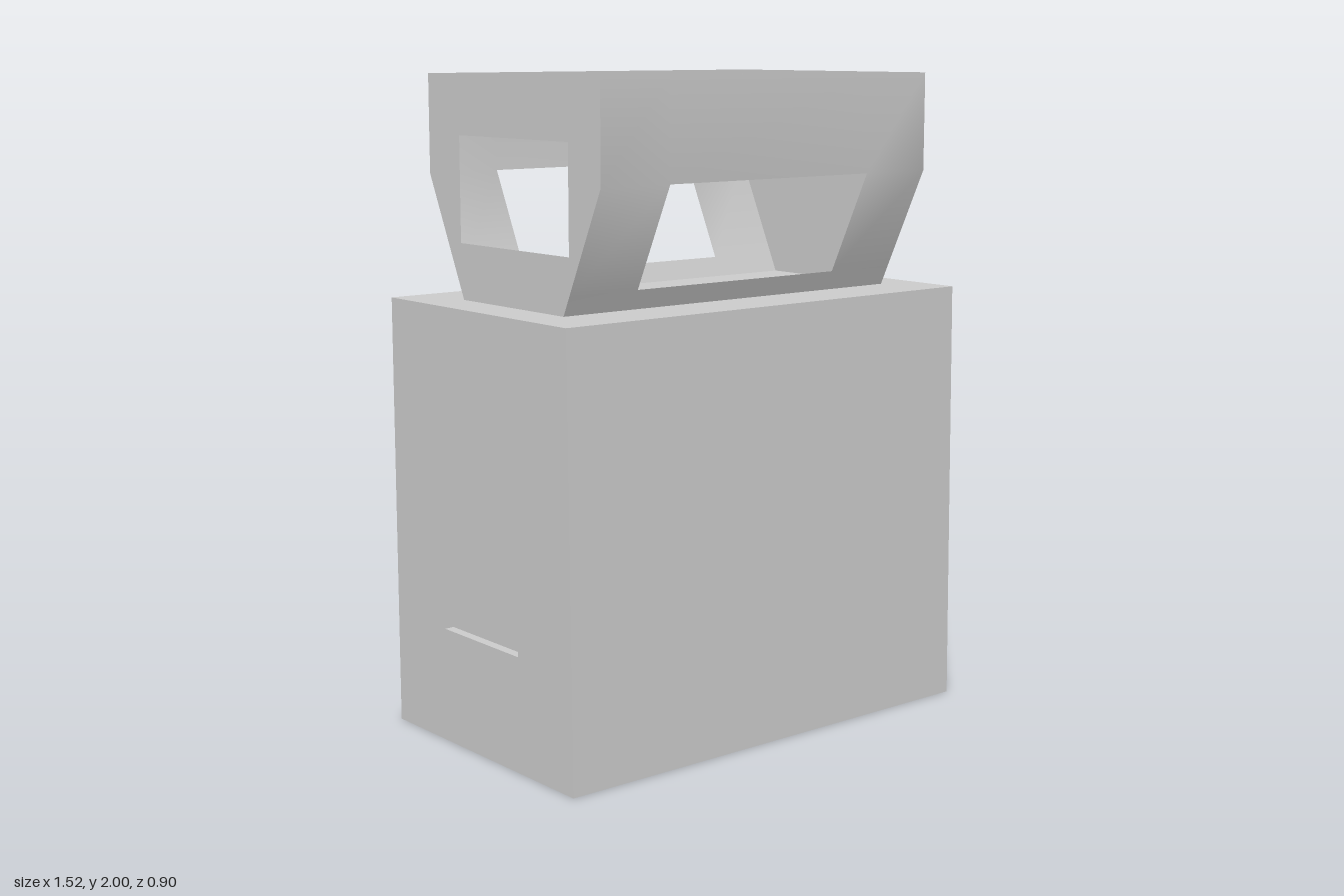
import * as THREE from 'three';

const grey = (side = THREE.FrontSide) => new THREE.MeshStandardMaterial({ color: 0xcccccc, side });

// Body sizes: half length, height, half depth, wall thickness
const BX = 0.76, BH = 1.33, BZ = 0.45, T = 0.03;

function part(name, geometry, side) {
  const mesh = new THREE.Mesh(geometry, grey(side));
  mesh.name = name;
  return mesh;
}

// The body's front leans back slightly towards the top
function lean(geometry) {
  const p = geometry.attributes.position;
  for (let i = 0; i < p.count; i++) {
    if (p.getZ(i) > 0.4) p.setZ(i, p.getZ(i) - 0.015 * p.getY(i) / BH);
  }
  geometry.computeVertexNormals();
  return geometry;
}

// Box between two corners, leaving out some faces (order: +x -x +y -y +z -z)
function openBox(min, max, skip) {
  const [w, h, d] = max.map((v, i) => v - min[i]);
  const geo = new THREE.BoxGeometry(w, h, d);
  geo.translate(...max.map((v, i) => (v + min[i]) / 2));
  const index = Array.from(geo.index.array).filter((_, i) => !skip.includes(Math.floor(i / 6)));
  geo.setIndex(index);
  geo.clearGroups();
  return geo;
}

// Flat end panel from a z/y outline, with an optional z/y window, facing -x
function endPanel(x, outline, window) {
  const toPoints = (list) => list.map(([z, y]) => new THREE.Vector2(z, y));
  const shape = new THREE.Shape(toPoints(outline));
  if (window) shape.holes.push(new THREE.Path(toPoints(window)));
  return new THREE.ShapeGeometry(shape).rotateY(-Math.PI / 2).translate(x, 0, 0);
}

const rect = (z0, y0, z1, y1) => [[z0, y0], [z1, y0], [z1, y1], [z0, y1]];

// Folded long panel of the collar: a small grid with its middle cell left open
function longPanel(front) {
  const xs = [-0.625, -0.38, 0.39, 0.635];
  const rows = front
    ? [[2, 0.418], [1.7, 0.418], [1.39, 0.27], [1.33, 0.242]]
    : [[2, -0.432], [1.7, -0.432], [1.39, -0.287], [1.33, -0.259]];
  const pos = [], index = [];
  rows.forEach(([y, z]) => xs.forEach((x) => pos.push(x, y, z)));
  for (let r = 0; r < 3; r++) {
    for (let c = 0; c < 3; c++) {
      if (r === 1 && c === 1) continue;
      const a = r * 4 + c, b = a + 1, d = a + 4, e = a + 5;
      index.push(...(front ? [a, d, b, b, d, e] : [a, b, d, b, e, d]));
    }
  }
  const geo = new THREE.BufferGeometry();
  geo.setAttribute('position', new THREE.Float32BufferAttribute(pos, 3));
  geo.setIndex(index);
  geo.computeVertexNormals();
  return geo;
}

export function createModel() {
  const model = new THREE.Group();
  model.name = 'boxWithCollar';

  // Hollow body with a window in its -x end
  const body = new THREE.Group();
  body.name = 'body';
  const win = rect(-0.19, 0.35, 0.19, 0.68);
  body.add(
    part('bodyShell', lean(openBox([-BX, 0, -BZ], [BX, BH, BZ], [1]))),
    part('bodyInterior', lean(openBox([-BX + T, T, -BZ + T], [BX - T, BH - T, BZ - T], [1])), THREE.BackSide),
    part('windowWall', lean(endPanel(-BX, rect(-BZ, 0, BZ, BH), win))),
    part('windowWallInside', lean(endPanel(-BX + T, rect(-BZ + T, T, BZ - T, BH - T), win)), THREE.BackSide),
    part('windowReveal', openBox([-BX, 0.35, -0.19], [-BX + T, 0.68, 0.19], [0, 1]), THREE.BackSide),
  );
  model.add(body);

  // Thin open collar: folded long panels with slots, flat ends, window at -x
  const collar = new THREE.Group();
  collar.name = 'collar';
  const outline = [[-0.259, 1.33], [0.242, 1.33], [0.418, 1.7], [0.418, 2], [-0.432, 2], [-0.432, 1.7]];
  collar.add(
    part('collarFront', longPanel(true), THREE.DoubleSide),
    part('collarBack', longPanel(false), THREE.DoubleSide),
    part('collarWindowEnd', endPanel(-0.625, outline, rect(-0.27, 1.5, 0.27, 1.82)), THREE.DoubleSide),
    part('collarPlainEnd', endPanel(0.635, outline), THREE.DoubleSide),
  );
  model.add(collar);
  return model;
}
